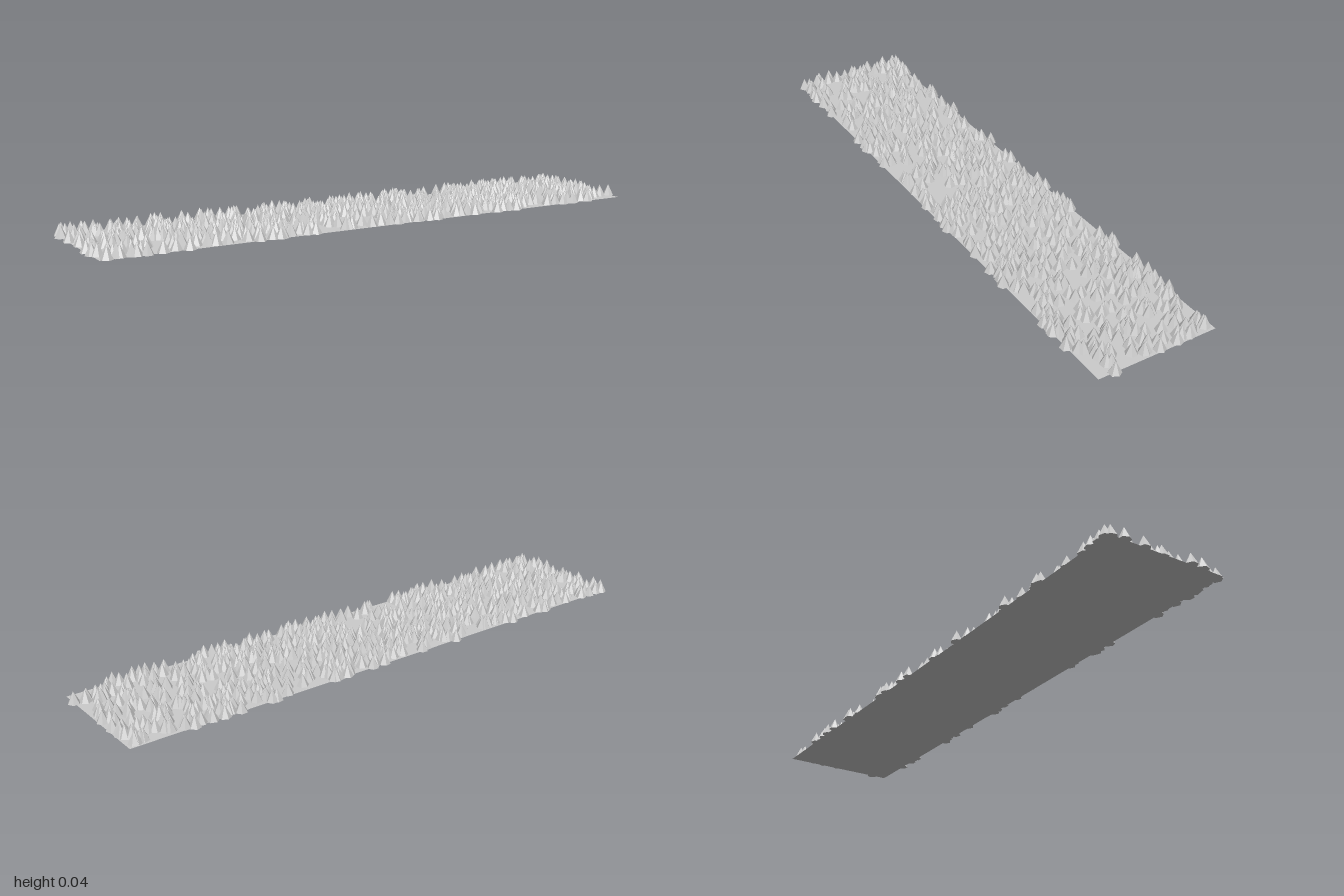
import * as THREE from 'three';
import { mergeGeometries } from 'three/addons/utils/BufferGeometryUtils.js';

const HALF_X = 0.98, HALF_Z = 0.205, RADIUS = 0.02, HEIGHT = 0.04, COUNT = 800;

// Small seeded generator, returns values in 0..1
function seeded(seed) {
  return () => {
    seed = (seed + 0x6d2b79f5) | 0;
    let t = Math.imul(seed ^ (seed >>> 15), 1 | seed);
    t = (t + Math.imul(t ^ (t >>> 7), 61 | t)) ^ t;
    return ((t ^ (t >>> 14)) >>> 0) / 4294967296;
  };
}

export function createModel() {
  const group = new THREE.Group();
  group.name = 'spikeStrip';
  const rand = seeded(7);

  // Flat base sheet
  const base = new THREE.Mesh(
    new THREE.PlaneGeometry(2 * HALF_X, 2 * HALF_Z).rotateX(-Math.PI / 2),
    new THREE.MeshStandardMaterial({ color: 0xcccccc, side: THREE.DoubleSide })
  );
  base.name = 'baseSheet';
  group.add(base);

  // Six-sided spikes scattered over the sheet
  const spike = new THREE.ConeGeometry(RADIUS, HEIGHT, 6).translate(0, HEIGHT / 2, 0);
  const spikes = [];
  const addSpike = (x, z, turn) => spikes.push(spike.clone().rotateY(turn).translate(x, 0, z));

  // One spike on each edge fixes the outer size
  for (const s of [-1, 1]) {
    addSpike(s * HALF_X, s * 0.15, Math.PI / 2);
    addSpike(s * 0.5, s * HALF_Z, 0);
  }
  while (spikes.length < COUNT) {
    addSpike((rand() * 2 - 1) * HALF_X, (rand() * 2 - 1) * HALF_Z, rand() * Math.PI * 2);
  }
  const field = new THREE.Mesh(
    mergeGeometries(spikes),
    new THREE.MeshStandardMaterial({ color: 0xcccccc, flatShading: true })
  );
  field.name = 'spikes';
  group.add(field);

  return group;
}
